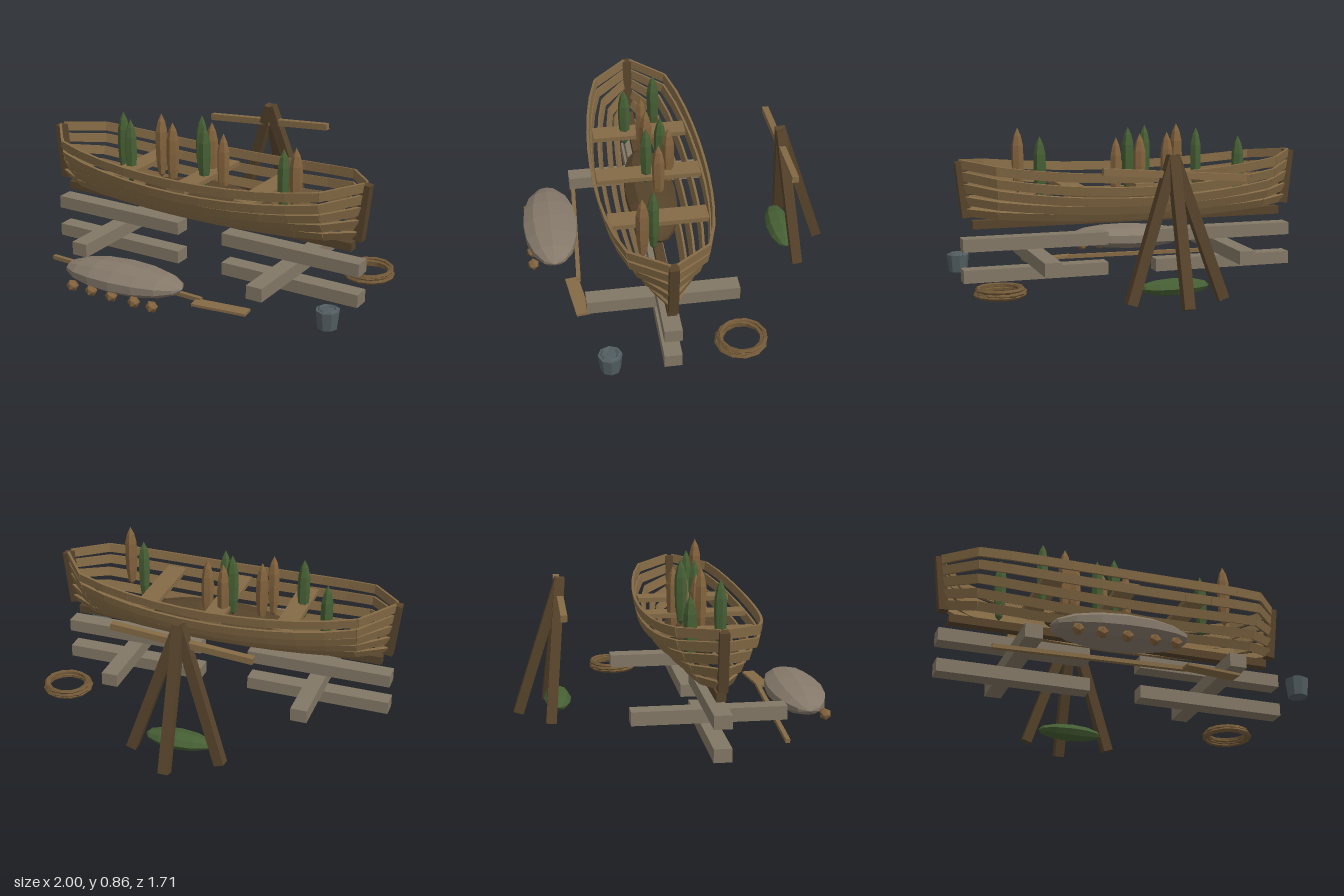
import * as THREE from 'three';

const mat = (name, color) => {
  const m = new THREE.MeshStandardMaterial({ color, flatShading: true });
  m.name = name;
  return m;
};
const M = {
  plank: mat('plank wood', 0x846a45),
  dark: mat('dark timber', 0x56432b),
  beam: mat('weathered beam', 0x827765),
  hide: mat('pale hide', 0x85796a),
  tan: mat('tan pod', 0x83633d),
  green: mat('green pod', 0x465f34),
  rope: mat('rope', 0x715837),
  metal: mat('bucket metal', 0x525d61),
};
const V = (x, y, z) => new THREE.Vector3(x, y, z);
const CZ = 0.145; // boat centreline

export function createModel() {
  const root = new THREE.Group();
  root.name = 'boatyard';

  const add = (name, geo, material, x = 0, y = 0, z = 0, parent = root) => {
    const mesh = new THREE.Mesh(geo, material);
    mesh.name = name;
    mesh.position.set(x, y, z);
    parent.add(mesh);
    return mesh;
  };
  const group = (name) => {
    const g = new THREE.Group();
    g.name = name;
    root.add(g);
    return g;
  };
  const box = (name, m, w, h, d, x, y, z, parent) =>
    add(name, new THREE.BoxGeometry(w, h, d), m, x, y, z, parent);
  // Box running from a to b, its height following the given up direction
  const bar = (name, m, a, b, h, d, up = V(0, 1, 0), parent = root) => {
    const X = b.clone().sub(a);
    const len = X.length();
    X.normalize();
    const Z = X.clone().cross(up).normalize();
    const Y = Z.clone().cross(X);
    const c = a.clone().add(b).multiplyScalar(0.5);
    const mesh = box(name, m, len, h, d, c.x, c.y, c.z, parent);
    mesh.quaternion.setFromRotationMatrix(new THREE.Matrix4().makeBasis(X, Y, Z));
    return mesh;
  };
  // Faceted ellipsoid with its points along x
  const spindle = (name, m, rx, ry, rz, x, y, z, sides = 10, rings = 8) => {
    const geo = new THREE.SphereGeometry(1, sides, rings).rotateZ(Math.PI / 2).scale(rx, ry, rz);
    return add(name, geo, m, x, y, z);
  };

  // Hull: five strakes a side, twelve straight planks each
  const hull = group('hull');
  const strakes = [ // half width, height amidships, height at ends, lean
    [0.295, 0.60, 0.675, 0.12],
    [0.280, 0.525, 0.61, 0.2],
    [0.228, 0.46, 0.545, 0.3],
    [0.168, 0.408, 0.475, 0.4],
    [0.115, 0.365, 0.41, 0.5],
  ];
  strakes.forEach(([hw, y0, y1, lean], k) => {
    for (const s of [1, -1]) {
      const at = (i) => {
        const t = i / 6;
        const w = 0.015 + hw * Math.pow(Math.max(0, Math.cos((t * Math.PI) / 2)), 0.32);
        return V(t * (0.965 - 0.008 * k), y0 + (y1 - y0) * t * t, CZ + s * w);
      };
      for (let i = -6; i < 6; i++) {
        const up = V(0, Math.cos(lean), s * Math.sin(lean));
        bar('strakePlank', M.plank, at(i), at(i + 1), 0.05, 0.014, up, hull);
      }
    }
  });
  box('keel', M.dark, 1.82, 0.046, 0.05, 0, 0.338, CZ, hull);
  for (const s of [1, -1]) {
    box('stemPost', M.dark, 0.052, 0.31, 0.05, s * 0.956, 0.535, CZ, hull).rotation.z = -s * 0.11;
  }
  for (const [x, len] of [[-0.407, 0.53], [0, 0.575], [0.4, 0.53]]) {
    box('thwart', M.plank, 0.112, 0.026, len, x, 0.552, CZ, hull);
  }
  spindle('hullBundle', M.dark, 0.42, 0.085, 0.145, 0.03, 0.43, 0.138, 10, 10);

  // Upright pods standing in the hull: x, top, z, material
  const podGeo = new THREE.LatheGeometry(
    [[0, -0.37], [0.02, -0.345], [0.031, -0.27], [0.035, -0.18], [0.033, -0.1], [0.021, -0.045], [0, 0]]
      .map(([r, y]) => new THREE.Vector2(r, y)), 6);
  const pods = group('pods');
  [
    [-0.61, 0.795, 0.035, M.green], [-0.425, 0.83, 0.225, M.green],
    [-0.275, 0.865, 0.145, M.tan], [-0.213, 0.82, 0.128, M.tan],
    [-0.06, 0.87, 0.068, M.green], [0.01, 0.85, 0.155, M.green],
    [-0.02, 0.825, 0.03, M.tan], [0.097, 0.80, 0.1, M.tan],
    [0.515, 0.81, 0.185, M.green], [0.625, 0.855, 0.255, M.tan],
  ].forEach(([x, y, z, m], i) => {
    add('pod', podGeo, m, x, y, z, pods).rotation.y = i * 0.7;
  });

  // Cradle: a pair of stacked beams with a cross beam under each end
  const cradle = group('cradle');
  for (const s of [1, -1]) {
    box('upperBeam', M.beam, 0.825, 0.072, 0.094, s * 0.555, 0.228, 0.147, cradle);
    box('lowerBeam', M.beam, 0.825, 0.072, 0.094, s * 0.555, 0.055, 0.147, cradle);
    box('crossBeam', M.beam, 0.093, 0.075, 0.825, s * 0.555, 0.143, 0.143, cradle);
  }

  // Hide bundle with a row of floats
  spindle('hideBundle', M.hide, 0.365, 0.077, 0.16, -0.153, 0.128, 0.697).rotation.z = 0.03;
  for (const x of [-0.408, -0.285, -0.155, -0.012, 0.1]) {
    add('float', new THREE.IcosahedronGeometry(0.033, 0), M.tan, x, 0.062, 0.812);
  }

  // Paddle lying on the ground
  bar('paddleShaft', M.plank, V(-0.76, 0.043, 0.523), V(0.25, 0.043, 0.573), 0.022, 0.024);
  bar('paddleBlade', M.plank, V(0.228, 0.038, 0.61), V(0.53, 0.038, 0.572), 0.014, 0.074);

  // Bucket
  const bucket = group('bucket');
  add('bucketBody', new THREE.CylinderGeometry(0.064, 0.053, 0.098, 8), M.metal, 0.935, 0.067, 0.47, bucket);
  add('bucketRim', new THREE.TorusGeometry(0.044, 0.009, 4, 8).rotateX(Math.PI / 2),
    M.metal, 0.935, 0.117, 0.47, bucket);

  // Rope coil
  const coil = group('ropeCoil');
  [0.13, 0.114, 0.125, 0.112, 0.12].forEach((r, i) => {
    const turn = add('ropeTurn', new THREE.TorusGeometry(r, 0.0125, 5, 12).rotateX(Math.PI / 2),
      M.rope, 0.835 + 0.005 * Math.sin(i * 2.3), 0.027 + i * 0.007, -0.235 + 0.005 * Math.cos(i * 2.3), coil);
    turn.rotation.set(0.03 * Math.sin(i * 1.9), i * 0.7, 0);
  });

  // Tripod with a cross pole and a green bundle beneath
  const tripod = group('tripod');
  for (const foot of [V(-0.25, 0.02, -0.665), V(0.25, 0.02, -0.665), V(0, 0.015, -0.835)]) {
    const up = foot.x ? V(0, 0, 1) : V(1, 0, 0);
    bar('tripodLeg', M.dark, foot, V(0, 0.765, -0.592), 0.056, 0.056, up, tripod);
  }
  bar('crossPole', M.plank, V(-0.4, 0.638, -0.593), V(0.375, 0.698, -0.593), 0.036, 0.036, V(0, 1, 0), tripod);
  spindle('greenBundle', M.green, 0.19, 0.046, 0.076, 0, 0.09, -0.617, 8, 6);

  return root;
}
